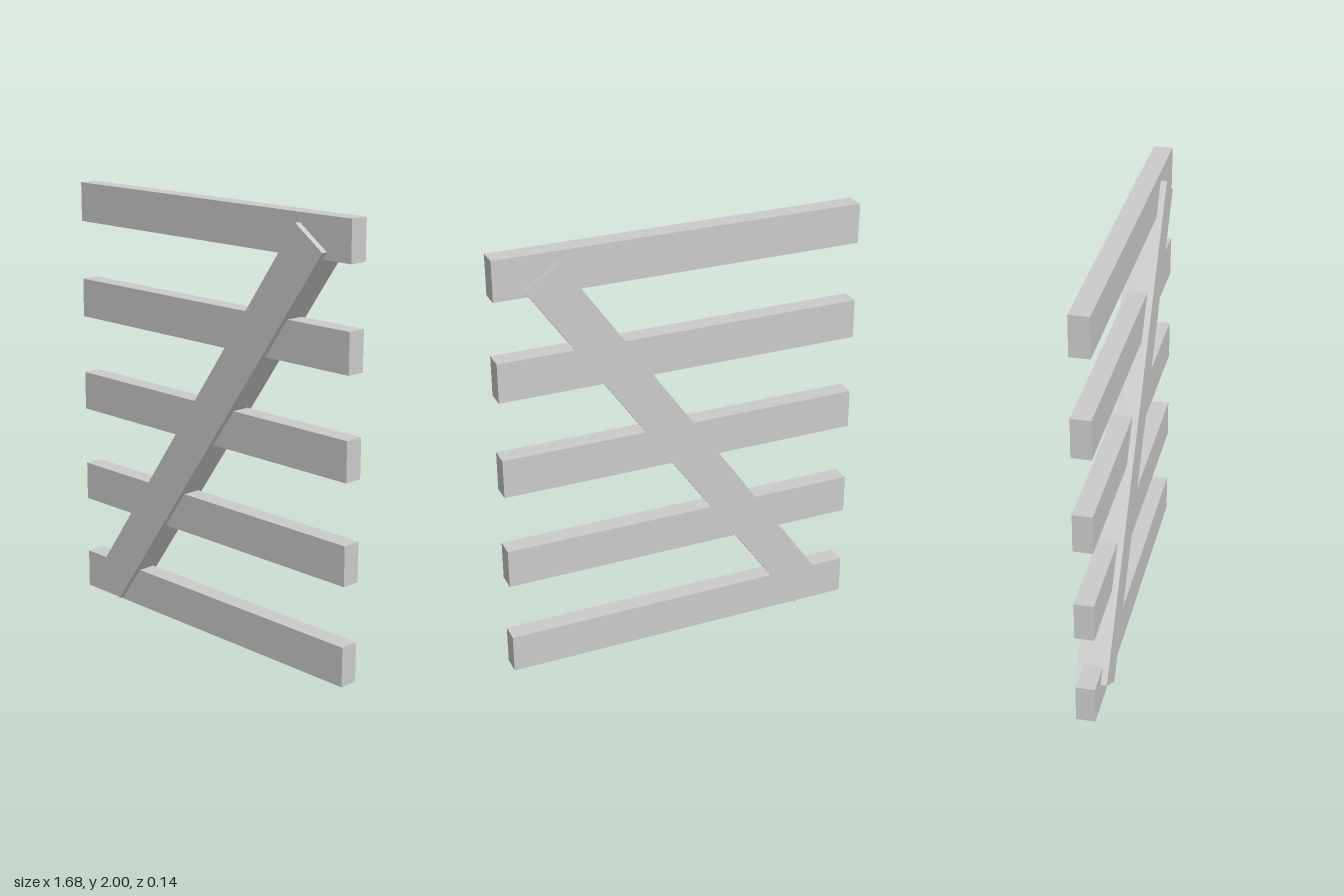
import * as THREE from 'three';

export function createModel() {
  const model = new THREE.Group();
  const material = new THREE.MeshStandardMaterial({ color: 0xcccccc, flatShading: true });

  function addBeam(name, length, height, depth, x, y, angle = 0) {
    const beam = new THREE.Mesh(new THREE.BoxGeometry(length, height, depth), material);
    beam.name = name;
    beam.position.set(x, y, 0);
    beam.rotation.z = angle;
    model.add(beam);
  }

  // Five evenly spaced horizontal slats
  for (let i = 0; i < 5; i++) {
    addBeam('slat' + (i + 1), 1.678, 0.181, 0.087, 0, 0.0905 + i * 0.45475);
  }

  // Diagonal brace running through all slats, proud on both faces
  addBeam('diagonalBrace', 2.246, 0.185, 0.142, -0.01, 0.984, THREE.MathUtils.degToRad(55.05));

  return model;
}
